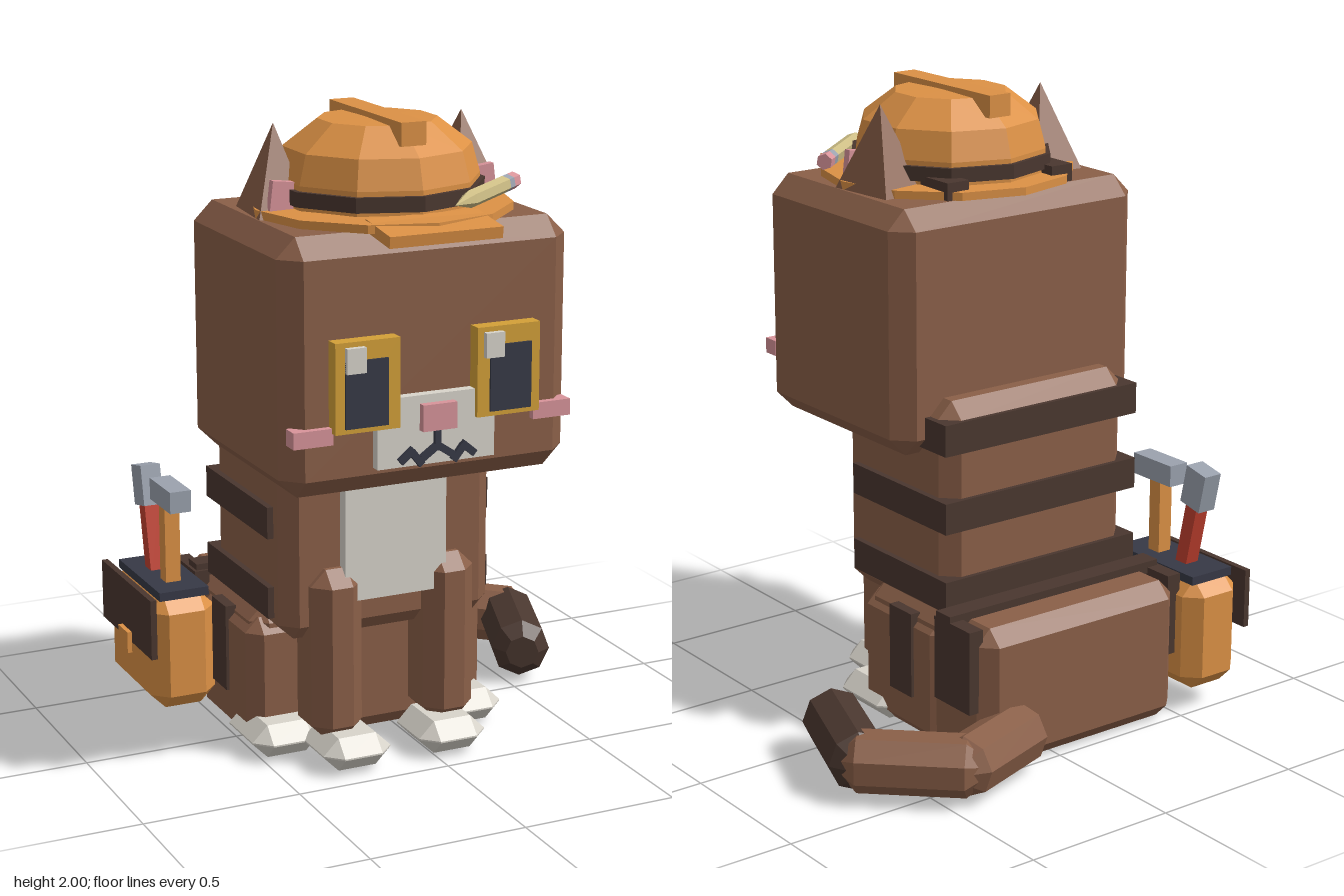
import * as THREE from 'three';
import { ConvexGeometry } from 'three/addons/geometries/ConvexGeometry.js';

const mat = (name, color) => {
  const m = new THREE.MeshStandardMaterial({ color });
  m.name = name;
  return m;
};

export function createModel() {
  const model = new THREE.Group();
  model.name = 'builderCat';
  const brown = mat('brown fur', 0x8a5f48), dark = mat('dark brown', 0x4a372f);
  const orange = mat('orange', 0xdc9145), cream = mat('pale fur', 0xd8d4cb);
  const yellow = mat('yellow', 0xd3a038), navy = mat('navy', 0x373946);
  const pink = mat('pink', 0xd8949a), grey = mat('steel', 0x9ba2ae);
  const khaki = mat('pencil wood', 0xcdbd85), red = mat('red', 0xc2402f);
  const CX = -0.105; // symmetry plane of the cat's body

  const add = (name, geo, material) => {
    const mesh = new THREE.Mesh(geo, material);
    mesh.name = name;
    model.add(mesh);
    return mesh;
  };
  const flat = (geo) => {
    const g = geo.index ? geo.toNonIndexed() : geo;
    g.computeVertexNormals();
    return g;
  };
  // Box given by its limits on each axis, optionally with chamfered edges
  const box = (name, material, [x0, x1], [y0, y1], [z0, z1], c = 0) => {
    const w = x1 - x0, h = y1 - y0, d = z1 - z0;
    let geo;
    if (c) {
      const pts = [];
      for (const i of [-1, 1]) for (const j of [-1, 1]) for (const k of [-1, 1]) {
        const x = i * w / 2, y = j * h / 2, z = k * d / 2;
        pts.push(new THREE.Vector3(x, y - j * c, z - k * c),
          new THREE.Vector3(x - i * c, y, z - k * c),
          new THREE.Vector3(x - i * c, y - j * c, z));
      }
      geo = new ConvexGeometry(pts);
    } else geo = new THREE.BoxGeometry(w, h, d);
    const mesh = add(name, geo, material);
    mesh.position.set((x0 + x1) / 2, (y0 + y1) / 2, (z0 + z1) / 2);
    return mesh;
  };
  // The same box on both sides; x limits are distances from the symmetry plane
  const pair = (name, material, [a, b], y, z, c) => {
    box(name + 'Left', material, [CX + a, CX + b], y, z, c);
    box(name + 'Right', material, [CX - b, CX - a], y, z, c);
  };
  const spin = (name, material, profile, sides) =>
    add(name, flat(new THREE.LatheGeometry(profile.map(p => new THREE.Vector2(...p)), sides)), material);
  const aim = (mesh, from, dir) => {
    mesh.position.copy(from);
    mesh.quaternion.setFromUnitVectors(new THREE.Vector3(0, 1, 0), dir);
  };

  // Body
  box('torso', brown, [-0.46, 0.25], [0.4, 1.12], [-0.255, 0.305], 0.05);
  box('hips', brown, [-0.49, 0.285], [0, 0.465], [-0.495, 0.14], 0.05);
  pair('thigh', brown, [0.16, 0.405], [0.01, 0.43], [-0.27, 0.155], 0.045);
  box('bib', cream, [-0.275, 0.065], [0.525, 0.96], [0.28, 0.345]);
  for (const y of [0.465, 0.72, 0.97])
    box('bodyStripe', dark, [-0.48, 0.27], [y, y + 0.1], [-0.27, 0.225]);
  pair('thighStripe', dark, [0.38, 0.415], [0.15, 0.43], [-0.14, -0.025]);
  pair('hipStripe', dark, [0.37, 0.42], [0.2, 0.47], [-0.45, -0.27]);
  box('rumpStripe', dark, [-0.515, 0.315], [0.45, 0.49], [-0.35, -0.28]);

  // Legs and paws
  pair('frontLeg', brown, [0.105, 0.275], [0.08, 0.63], [0.165, 0.37], 0.05);
  pair('frontPaw', cream, [0.05, 0.275], [0.01, 0.115], [0.2, 0.46], 0.05);
  pair('hindPaw', cream, [0.2, 0.43], [0.01, 0.115], [-0.02, 0.27], 0.05);

  // Tail of three bevelled eight-sided pieces
  const path = [[0.1, -0.47], [0.425, -0.58], [0.66, -0.36], [0.53, -0.005]]
    .map(([x, z]) => new THREE.Vector3(x, 0.115, z));
  for (let i = 0; i < 3; i++) {
    const dir = path[i + 1].clone().sub(path[i]);
    const len = dir.length() + (i < 2 ? 0.05 : 0), s = i ? -0.05 : 0, r = 0.097;
    const piece = spin(i < 2 ? 'tail' : 'tailTip', i < 2 ? brown : dark,
      [[0, s], [0.055, s], [r, s + 0.045], [r, len - 0.045], [0.055, len], [0, len]], 8);
    piece.geometry.rotateY(Math.PI / 8);
    aim(piece, path[i], dir.normalize());
  }

  // Head and face
  box('head', brown, [-0.57, 0.36], [0.94, 1.71], [-0.165, 0.583], 0.06);
  box('muzzle', cream, [-0.295, 0.085], [1.02, 1.23], [0.56, 0.615]);
  box('nose', pink, [-0.16, -0.05], [1.125, 1.205], [0.6, 0.64]);
  pair('eye', yellow, [0.125, 0.33], [1.145, 1.415], [0.56, 0.63]);
  pair('pupil', navy, [0.165, 0.3], [1.16, 1.36], [0.628, 0.637]);
  for (const x of [-0.405, 0.04])
    box('eyeGlint', cream, [x, x + 0.06], [1.325, 1.4], [0.63, 0.648]);
  pair('cheek', pink, [0.325, 0.45], [1.11, 1.16], [0.55, 0.605]);
  box('mouthStem', navy, [CX - 0.01, CX + 0.01], [1.06, 1.13], [0.61, 0.628]);
  for (const s of [-1, 1]) {
    for (const [x, y, tilt] of [[0.028, 1.057, -0.6], [0.068, 1.045, 0.9], [0.1, 1.055, -0.7]]) {
      const m = box('mouth', navy, [-0.028, 0.028], [-0.011, 0.011], [-0.009, 0.009]);
      m.position.set(CX + s * x, y, 0.619);
      m.rotation.z = s * tilt;
    }
    // Ears
    const ear = add('ear', flat(new THREE.ConeGeometry(1, 0.3, 4, 1, false, Math.PI / 4)), brown);
    ear.scale.set(0.13, 1, 0.19);
    ear.position.set(CX + s * 0.31, 1.825, 0.15);
    ear.rotation.y = s * 0.1;
    const inner = box('innerEar', pink, [-0.037, 0.037], [-0.045, 0.045], [-0.013, 0.013]);
    inner.position.set(CX + s * 0.33, 1.775, 0.254);
    inner.rotation.z = s * 0.12;
  }
  pair('crownStripe', dark, [0.16, 0.24], [1.7, 1.765], [-0.1, 0.05]);

  // Hard hat
  const hatPart = (name, material, profile, sides, z) =>
    spin(name, material, profile, sides).position.set(CX, 0, z);
  hatPart('hatBrim', orange, [[0, 1.7], [0.4, 1.71], [0.4, 1.735], [0, 1.745]], 12, 0.225);
  hatPart('hatBand', dark, [[0, 1.75], [0.325, 1.75], [0.325, 1.795], [0, 1.795]], 10, 0.21);
  hatPart('hatDome', orange,
    [[0.31, 1.71], [0.31, 1.81], [0.285, 1.9], [0.18, 1.98], [0, 1.985]], 10, 0.21);
  box('hatRidge', orange, [-0.145, -0.065], [1.93, 2], [-0.045, 0.457]);
  box('hatVisor', orange, [-0.285, 0.075], [1.695, 1.73], [0.51, 0.675]).rotation.x = 0.14;

  // Pencil tucked in the hat band, tip first
  const tip = new THREE.Vector3(-0.05, 1.778, 0.615);
  const pencilDir = new THREE.Vector3(0.345, 0, -0.29).normalize();
  const r = 0.026;
  for (const [name, material, profile] of [
    ['pencil', khaki, [[0, 0], [r, 0.11], [r, 0.37], [0, 0.37]]],
    ['pencilFerrule', grey, [[0, 0.37], [r, 0.37], [r, 0.405], [0, 0.405]]],
    ['pencilEraser', pink, [[0, 0.405], [r, 0.405], [r, 0.45], [0, 0.45]]],
  ]) aim(spin(name, material, profile, 6), tip, pencilDir);

  // Tool pouch on the right hip
  box('pouch', orange, [-0.73, -0.51], [0.075, 0.45], [-0.53, -0.1], 0.05);
  box('pouchTop', navy, [-0.7, -0.535], [0.44, 0.468], [-0.5, -0.127]);
  box('pouchFlap', dark, [-0.745, -0.725], [0.265, 0.46], [-0.54, -0.09]);
  box('pouchBuckle', orange, [-0.76, -0.745], [0.23, 0.3], [-0.355, -0.27]);

  // Upright hammer and leaning hammer
  box('hammerHandle', orange, [-0.645, -0.595], [0.46, 0.72], [-0.265, -0.215]);
  box('hammerHead', grey, [-0.65, -0.58], [0.715, 0.785], [-0.33, -0.15]);
  const lean = new THREE.Group();
  lean.name = 'leaningHammer';
  lean.position.set(-0.622, 0.46, -0.37);
  lean.rotation.x = -0.21;
  lean.add(box('redHandle', red, [-0.025, 0.025], [-0.02, 0.23], [-0.025, 0.025]),
    box('redHammerHead', grey, [-0.033, 0.033], [0.215, 0.345], [-0.045, 0.045]));
  model.add(lean);

  return model;
}
